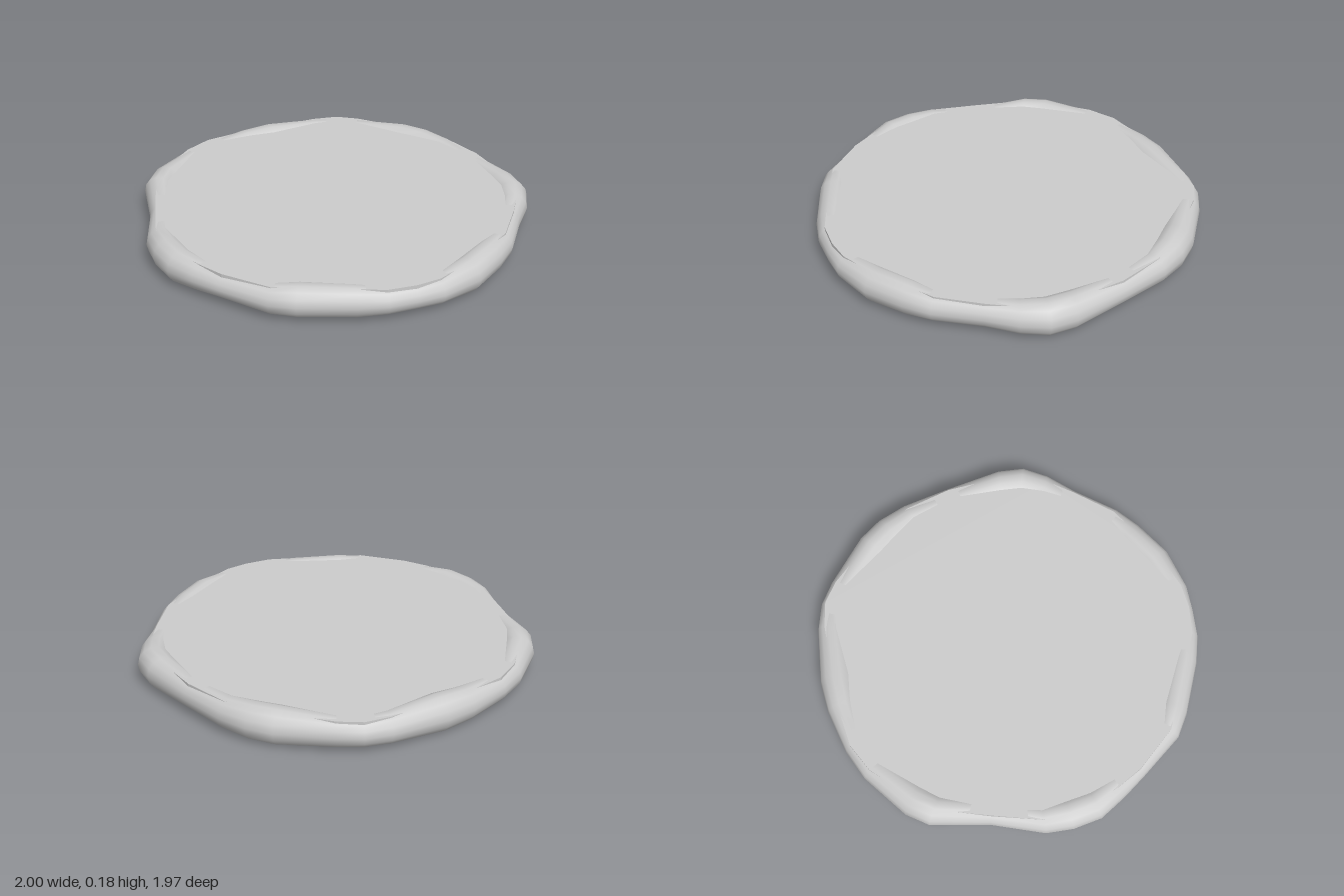
import * as THREE from 'three';

const grey = new THREE.MeshStandardMaterial({ color: 0xcccccc });
grey.name = 'grey';

// Outer rim of the crust, x and z pairs
const RIM = [
  [-0.13, -0.99], [0, -0.99], [0.29, -0.95], [0.42, -0.9], [0.55, -0.81], [0.73, -0.63], [0.93, -0.41], [0.995, -0.29],
  [1, -0.15], [0.97, 0.02], [0.945, 0.27], [0.9, 0.41], [0.81, 0.6], [0.66, 0.76], [0.55, 0.83], [0.42, 0.9],
  [0.28, 0.94], [0, 0.98], [-0.13, 0.98], [-0.385, 0.885], [-0.52, 0.83], [-0.66, 0.76], [-0.76, 0.65], [-0.83, 0.53],
  [-0.89, 0.26], [-1, -0.02], [-0.995, -0.15], [-0.9, -0.41], [-0.81, -0.55], [-0.65, -0.72], [-0.52, -0.82], [-0.26, -0.95],
];
const MID = 0.093, TOP = 0.165, FLOOR = 0.09;

// Seven soft bulges run round the crust
const rim = RIM.map(([x, z]) => {
  const angle = Math.atan2(z, x);
  const bulge = Math.cos(7 * (angle - 1.466));
  return { cos: Math.cos(angle), sin: Math.sin(angle), r: Math.hypot(x, z), bulge,
    tube: 0.078 + 0.011 * bulge - 0.004 * Math.sin(angle) };
});

function crustGeometry(sides = 14) {
  const pos = [], index = [], n = rim.length;
  rim.forEach((p, i) => {
    for (let j = 0; j < sides; j++) {
      const a = (j / sides) * Math.PI * 2;
      const r = p.r - p.tube + p.tube * Math.cos(a);
      pos.push(r * p.cos, MID + p.tube * Math.sin(a), r * p.sin);
      const k = (j + 1) % sides, next = ((i + 1) % n) * sides;
      const A = i * sides + j, B = i * sides + k, C = next + j, D = next + k;
      index.push(A, B, C, B, D, C);
    }
  });
  const g = new THREE.BufferGeometry();
  g.setAttribute('position', new THREE.Float32BufferAttribute(pos, 3));
  g.setIndex(index);
  g.computeVertexNormals();
  return g;
}

function baseGeometry() {
  const shape = new THREE.Shape(rim.map((p) => {
    const r = p.r - 0.05 - 0.02 * p.bulge;
    return new THREE.Vector2(r * p.cos, r * p.sin);
  }));
  return new THREE.ExtrudeGeometry(shape, { depth: TOP - FLOOR, bevelEnabled: false })
    .rotateX(Math.PI / 2).translate(0, TOP, 0);
}

export function createModel() {
  const model = new THREE.Group();
  model.name = 'upturnedPizza';
  const add = (name, geometry, x = 0, y = 0, z = 0, turn = 0) => {
    const mesh = new THREE.Mesh(geometry, grey);
    mesh.name = name;
    mesh.position.set(x, y, z);
    mesh.rotation.y = turn;
    model.add(mesh);
  };

  add('crust', crustGeometry());
  add('base', baseGeometry());

  // Round slices hang below the base
  const slice = new THREE.CylinderGeometry(0.118, 0.118, 0.04, 24);
  [
    [0, 0.01], [0.31, -0.1], [-0.01, -0.31], [0.2, 0.27], [-0.31, -0.09], [-0.18, 0.28],
    [0.59, -0.24], [0.28, -0.55], [0.61, 0.19], [-0.15, -0.6], [0.36, 0.53],
    [-0.51, -0.37], [-0.07, 0.64], [-0.63, 0.05], [-0.45, 0.44],
  ].forEach(([x, z]) => add('slice', slice, x, FLOOR - 0.01, z));

  // Small rings
  const ring = new THREE.TorusGeometry(0.04, 0.016, 8, 18).rotateX(Math.PI / 2);
  [
    [0.69, -0.24], [0.21, -0.43], [0.45, 0.22], [0.25, 0.68],
    [-0.45, -0.19], [-0.2, 0.46], [-0.67, 0.26], [-0.26, -0.67],
  ].forEach(([x, z]) => add('ring', ring, x, FLOOR - 0.016, z));

  // Thin leaves, each with a heading
  const leaf = new THREE.SphereGeometry(1, 16, 8).scale(0.1, 0.012, 0.045);
  [
    [0.39, -0.25, -0.12], [-0.01, -0.19, 1.35], [0.2, 0.1, -1.24], [0.14, 0.48, 1.45],
    [-0.15, 0.2, 0], [-0.46, 0.18, -0.33], [-0.37, -0.31, -1.22],
  ].forEach(([x, z, turn]) => add('leaf', leaf, x, FLOOR - 0.03, z, turn));

  return model;
}
